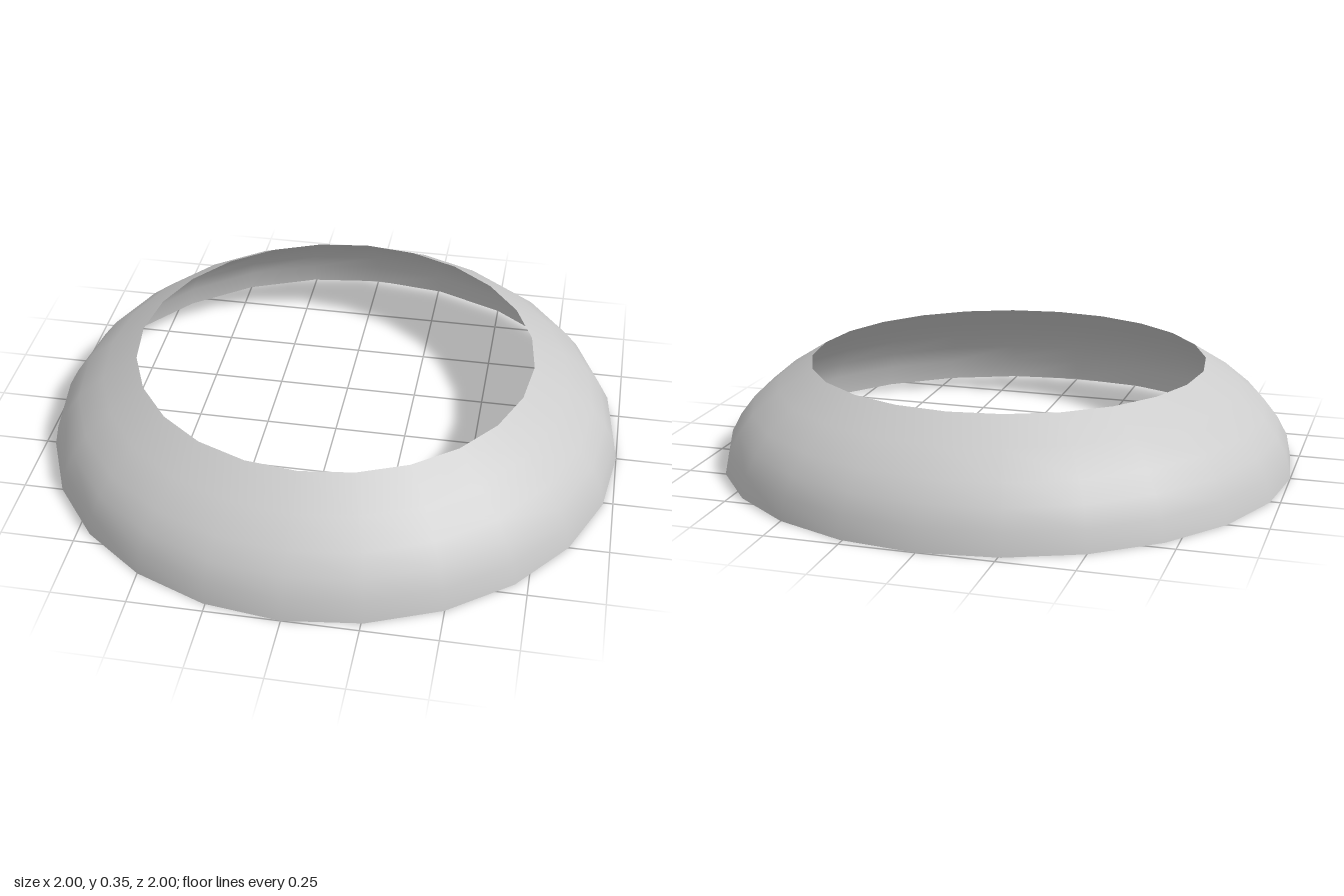
import * as THREE from 'three';

export function createModel() {
  const group = new THREE.Group();

  // Open domed ring: a thin curved shell around a wide central opening
  const profile = [
    [1, 0], [0.985, 0.075], [0.95, 0.14], [0.9, 0.205], [0.81, 0.28], [0.69, 0.355],
  ].map(([r, y]) => new THREE.Vector2(r, y));

  const material = new THREE.MeshStandardMaterial({ color: 0xcccccc, side: THREE.DoubleSide });
  const shell = new THREE.Mesh(new THREE.LatheGeometry(profile, 24), material);
  shell.name = 'domedRing';
  group.add(shell);

  return group;
}
